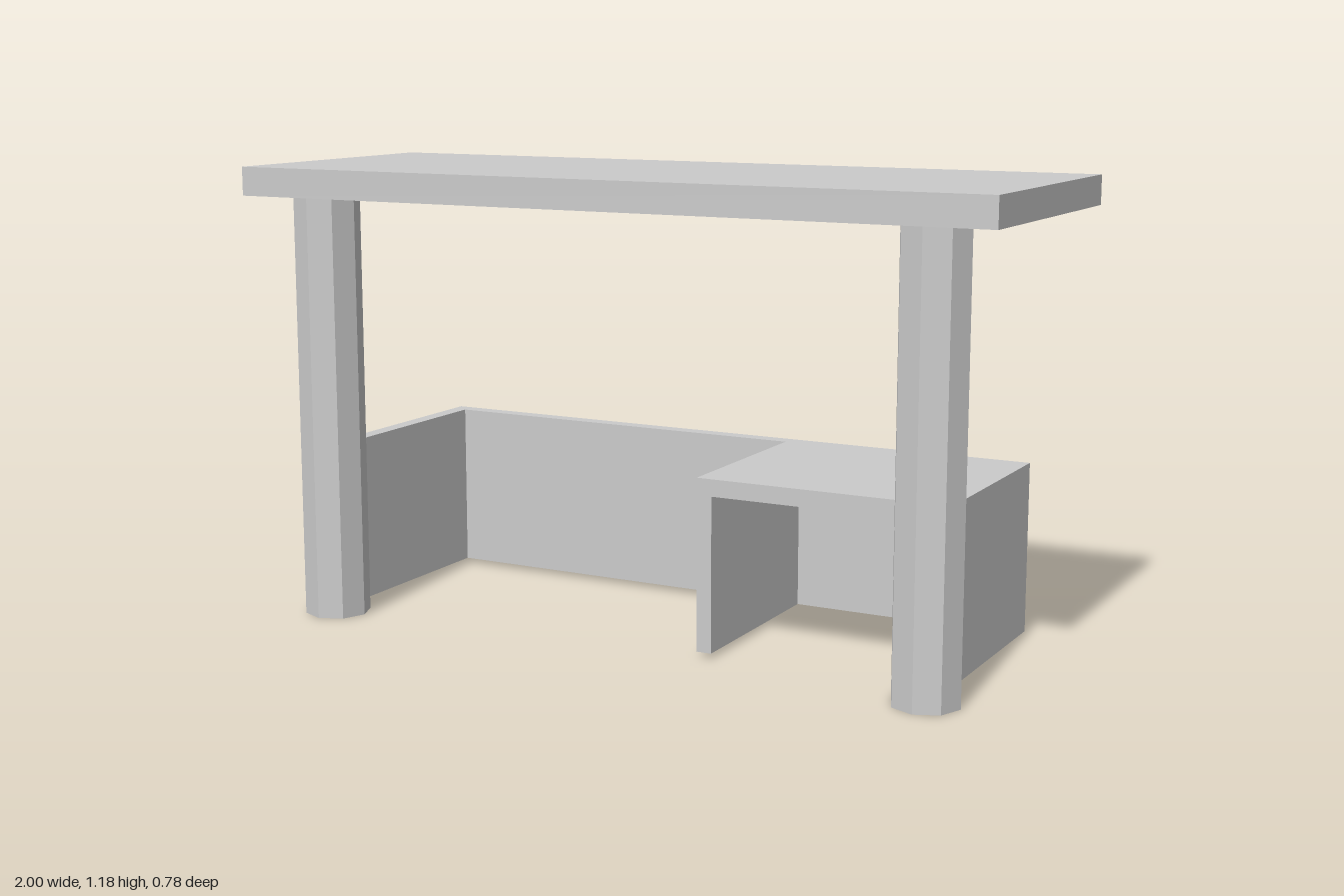
import * as THREE from 'three';

const material = new THREE.MeshStandardMaterial({ color: 0xcccccc, flatShading: true });

function addMesh(group, name, geometry) {
  const mesh = new THREE.Mesh(geometry, material);
  mesh.name = name;
  group.add(mesh);
  return mesh;
}

// Box given by its limits on each axis
function addBox(group, name, [x0, x1], [y0, y1], [z0, z1]) {
  const mesh = addMesh(group, name, new THREE.BoxGeometry(x1 - x0, y1 - y0, z1 - z0));
  mesh.position.set((x0 + x1) / 2, (y0 + y1) / 2, (z0 + z1) / 2);
}

export function createModel() {
  const group = new THREE.Group();
  group.name = 'marketStall';

  // Flat roof slab
  const roofBottom = 1.105;
  addBox(group, 'roof', [-1, 1], [roofBottom, 1.178], [-0.347, 0.392]);

  // Octagonal front posts
  for (const [name, x] of [['rightPost', -0.855], ['leftPost', 0.805]]) {
    const post = addMesh(group, name, new THREE.CylinderGeometry(0.085, 0.085, roofBottom, 8));
    post.position.set(x, roofBottom / 2, 0.237);
  }

  // U-shaped low wall, open to the front: plan drawn in x and -z, extruded upwards
  const left = 0.83, right = -0.875, back = -0.392, front = 0.159;
  const bottom = 0.013, top = 0.45, t = 0.04;
  const plan = new THREE.Shape([
    [right, front], [right + t, front], [right + t, back + t], [left - t, back + t],
    [left - t, front], [left, front], [left, back], [right, back],
  ].map(([x, z]) => new THREE.Vector2(x, -z)));
  const wall = addMesh(group, 'lowWall',
    new THREE.ExtrudeGeometry(plan, { depth: top - bottom, bevelEnabled: false }));
  wall.rotation.x = -Math.PI / 2;
  wall.position.y = bottom;

  // Counter in the left corner, carried by a divider panel
  const counterBottom = top - 0.043, divider = 0.175;
  addBox(group, 'counterTop', [divider, left - t], [counterBottom, top], [back + t, front]);
  addBox(group, 'counterDivider', [divider, divider + t], [bottom, counterBottom], [back + t, front]);

  return group;
}
